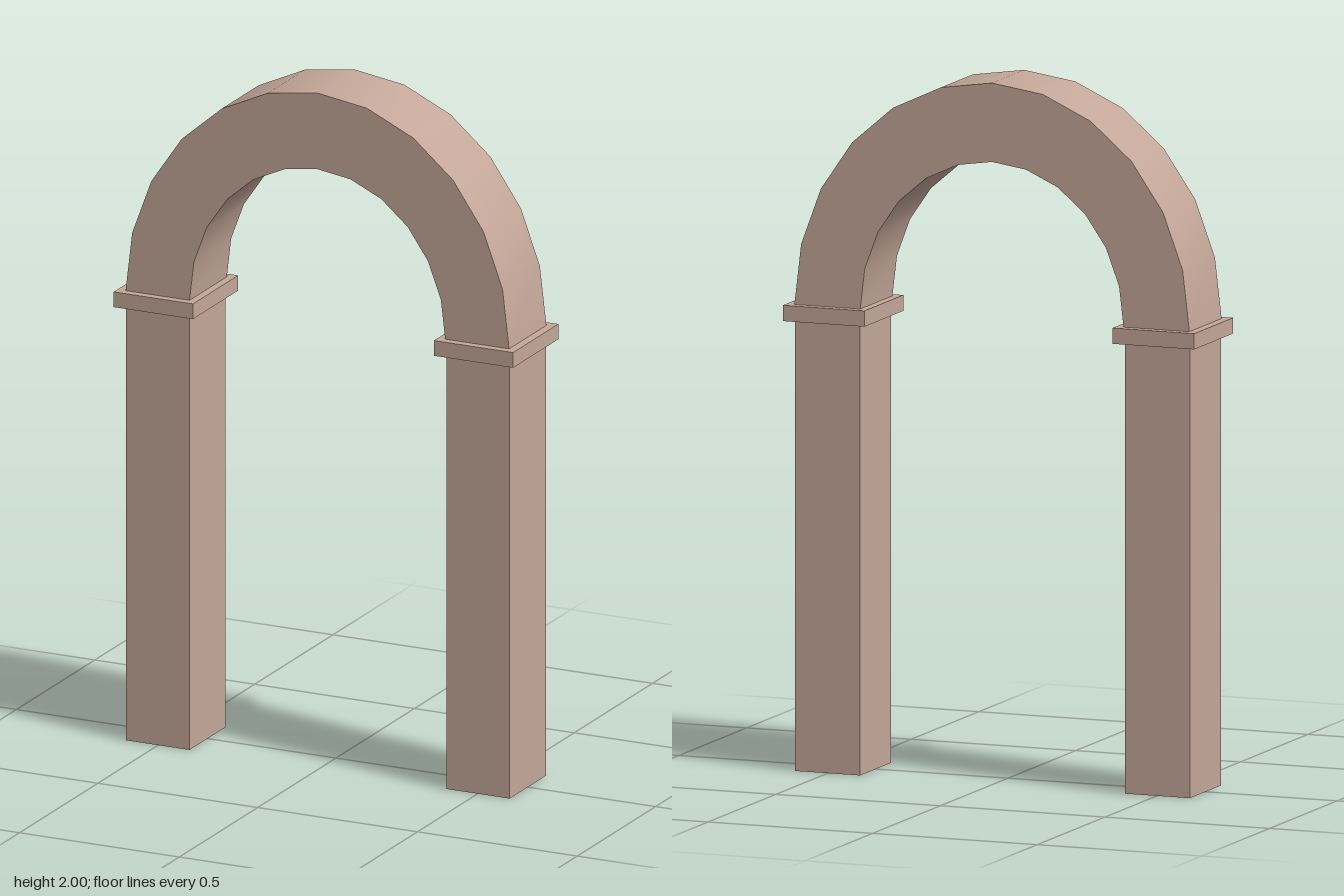
import * as THREE from 'three';
import { toCreasedNormals } from 'three/addons/utils/BufferGeometryUtils.js';

const SPRING = 1.33; // height where the arch starts
const CAP_H = 0.045;

// Half-elliptical ring, extruded and smoothed along the curve
function archGeometry(depth, segments = 12) {
  const arc = (rx, ry) => Array.from({ length: segments + 1 }, (_, i) => {
    const a = (i / segments) * Math.PI;
    return new THREE.Vector2(rx * Math.cos(a), SPRING + ry * Math.sin(a));
  });
  const shape = new THREE.Shape([...arc(0.6, 0.67), ...arc(0.4, 0.445).reverse()]);
  const geo = new THREE.ExtrudeGeometry(shape, { depth, bevelEnabled: false });
  geo.translate(0, 0, -depth / 2);
  return toCreasedNormals(geo, Math.PI / 6);
}

// Box shaft without its top and bottom faces
function shaftGeometry(w, h, d) {
  const geo = new THREE.BoxGeometry(w, h, d);
  geo.setIndex(Array.from(geo.index.array).filter((_, i) => i < 12 || i >= 24));
  geo.clearGroups();
  return geo;
}

export function createModel() {
  const group = new THREE.Group();
  group.name = 'archway';
  const stone = new THREE.MeshStandardMaterial({ color: 0xc4a799, side: THREE.DoubleSide });
  stone.name = 'pinkStone';

  const add = (name, geo, x, y) => {
    const mesh = new THREE.Mesh(geo, stone);
    mesh.name = name;
    mesh.position.set(x, y, 0);
    group.add(mesh);
  };

  add('arch', archGeometry(0.238), 0, 0);

  // Pillar and capital on each side
  const shaftH = SPRING - CAP_H;
  const shaft = shaftGeometry(0.198, shaftH, 0.23);
  const cap = new THREE.BoxGeometry(0.248, CAP_H, 0.288);
  for (const [side, s] of [['left', 1], ['right', -1]]) {
    add(side + 'Pillar', shaft, s * 0.501, shaftH / 2);
    add(side + 'Capital', cap, s * 0.501, SPRING - CAP_H / 2);
  }
  return group;
}
